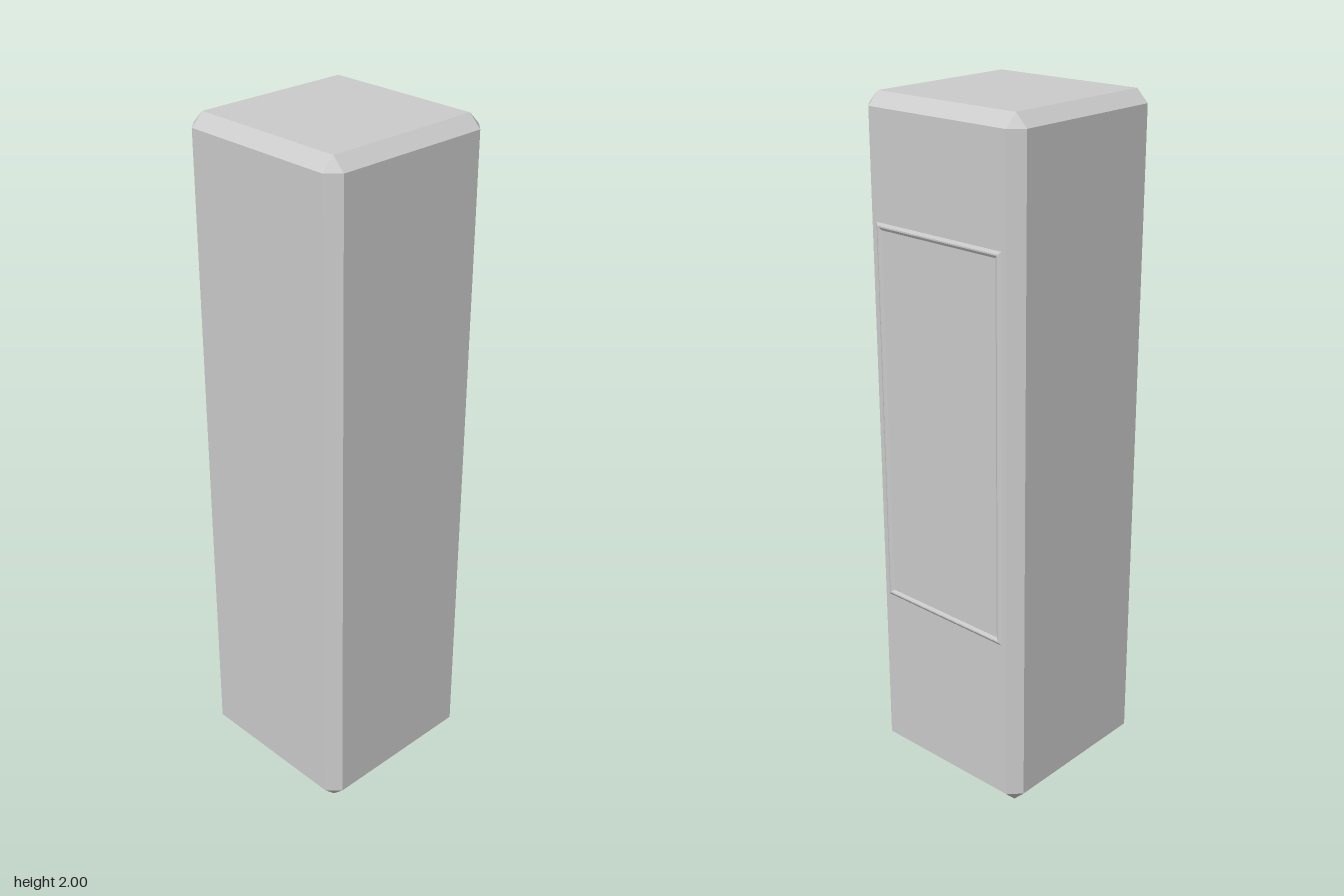
import * as THREE from 'three';
import { ConvexGeometry } from 'three/addons/geometries/ConvexGeometry.js';

const material = new THREE.MeshStandardMaterial({ color: 0xcccccc, flatShading: true });

// Box with every edge cut at 45 degrees: each corner becomes three points
function chamferedBox(hx, hy, hz, c) {
  const points = [];
  for (const sx of [-1, 1]) for (const sy of [-1, 1]) for (const sz of [-1, 1]) {
    points.push(
      new THREE.Vector3(sx * hx, sy * (hy - c), sz * (hz - c)),
      new THREE.Vector3(sx * (hx - c), sy * hy, sz * (hz - c)),
      new THREE.Vector3(sx * (hx - c), sy * (hy - c), sz * hz));
  }
  return new ConvexGeometry(points);
}

// Rectangular moulding facing -z; profile holds [inset, height] from outside in
function rectFrame(hw, hh, profile) {
  const corners = [[-1, -1], [1, -1], [1, 1], [-1, 1]];
  const rings = profile.map(([inset, height]) =>
    corners.map(([sx, sy]) => [sx * (hw - inset), sy * (hh - inset), -height]));
  const pos = [];
  for (let r = 0; r < rings.length - 1; r++) {
    for (let i = 0; i < 4; i++) {
      const j = (i + 1) % 4;
      const a = rings[r][i], b = rings[r][j], c = rings[r + 1][i], d = rings[r + 1][j];
      pos.push(...a, ...c, ...b, ...b, ...c, ...d);
    }
  }
  const geometry = new THREE.BufferGeometry();
  geometry.setAttribute('position', new THREE.Float32BufferAttribute(pos, 3));
  geometry.computeVertexNormals();
  return geometry;
}

export function createModel() {
  const group = new THREE.Group();
  group.name = 'pillar';

  // Main block
  const body = new THREE.Mesh(chamferedBox(0.276, 1, 0.276, 0.036), material);
  body.name = 'pillarBody';
  body.position.set(0, 1, 0.002);
  group.add(body);

  // Thin raised border on the back face, enclosing a flat panel
  const frame = new THREE.Mesh(
    rectFrame(0.225, 0.565, [[0, 0], [0.008, 0.005], [0.012, 0.005], [0.02, 0]]), material);
  frame.name = 'backPanelFrame';
  frame.position.set(0, 1.095, -0.274);
  group.add(frame);

  return group;
}
